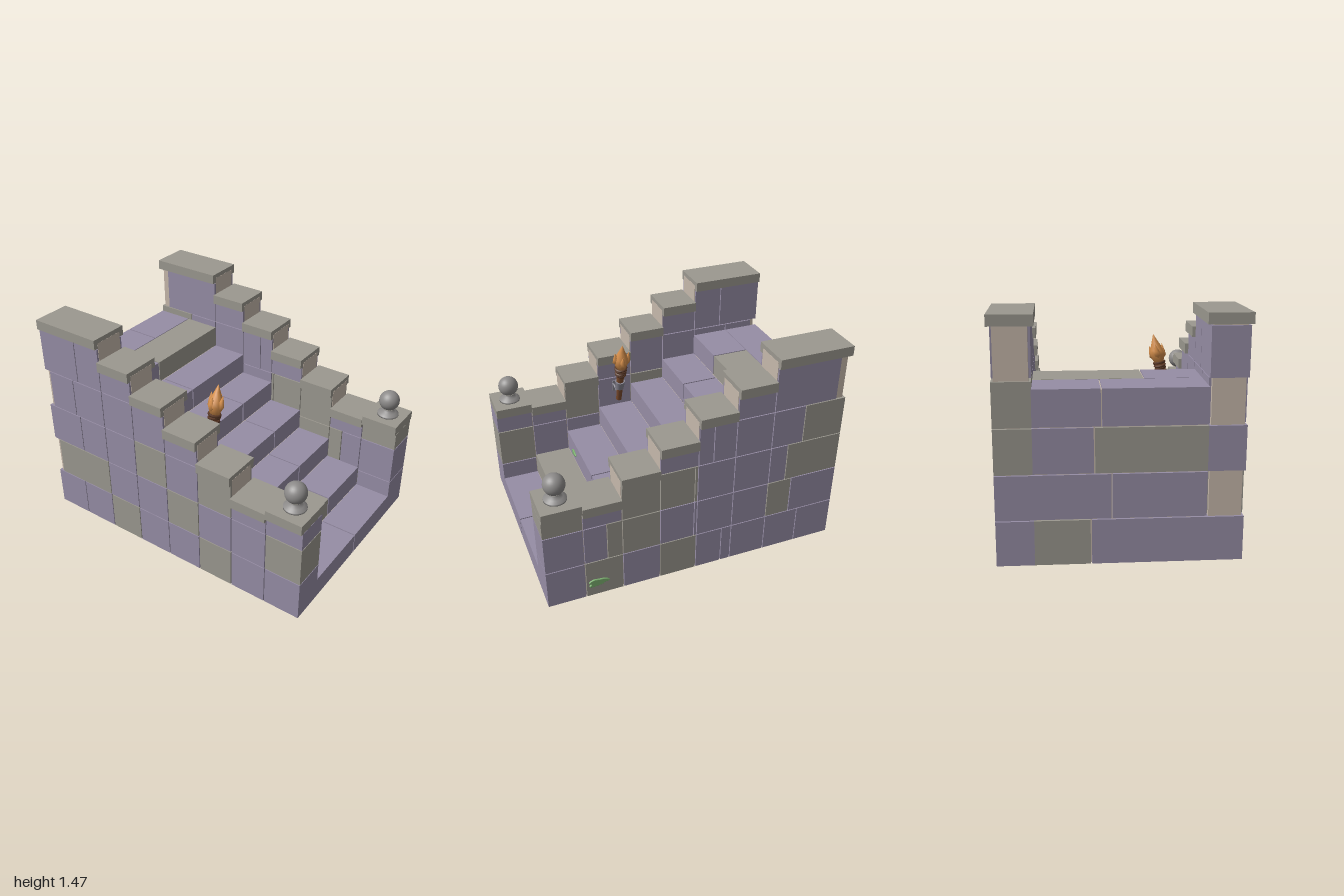
import * as THREE from 'three';

const mat = (name, color, side = THREE.FrontSide) => {
  const m = new THREE.MeshStandardMaterial({ color, side });
  m.name = name;
  return m;
};

export function createModel() {
  const root = new THREE.Group();
  root.name = 'stoneStaircase';
  const L = mat('lilacStone', 0x968da5);
  const G = mat('greyStone', 0x9b988f);
  const mortar = mat('mortar', 0xc6b8ab);
  const ballStone = mat('finialStone', 0x8d8b8a);
  const wood = mat('wood', 0x7a4a2c);
  const wrap = mat('darkWrap', 0x5a3826);
  const metal = mat('metal', 0x85838f);
  const fire = mat('flame', 0xd58f4c);
  const moss = mat('moss', 0x7cb070);

  const add = (name, geo, m, parent = root) => {
    const mesh = new THREE.Mesh(geo, m);
    mesh.name = name;
    parent.add(mesh);
    return mesh;
  };
  // Box given by its extents, shrunk by a gap on the given axes
  const block = (name, m, x0, x1, y0, y1, z0, z1, gx = 0, gy = 0, gz = 0, parent = root) => {
    const mesh = add(name, new THREE.BoxGeometry(x1 - x0 - 2 * gx, y1 - y0 - 2 * gy, z1 - z0 - 2 * gz), m, parent);
    mesh.position.set((x0 + x1) / 2, (y0 + y1) / 2, (z0 + z1) / 2);
    return mesh;
  };

  // Steps: joint position, left and right stone
  const stepRows = [[0, L, L], [0.07, G, L], [0.09, L, L], [0.16, L, L],
    [0.135, L, L], [-0.108, L, L], [-0.155, L, G]];
  const steps = new THREE.Group();
  steps.name = 'steps';
  root.add(steps);
  stepRows.forEach(([joint, a, b], i) => {
    const y1 = 0.15 * (i + 1), y0 = y1 - 0.148, z1 = 1 - 0.25 * i, z0 = z1 - 0.249;
    block('stepStone', a, -0.5, joint - 0.004, y0, y1, z0, z1, 0, 0, 0, steps);
    block('stepStone', b, joint + 0.004, 0.5, y0, y1, z0, z1, 0, 0, 0, steps);
    block('stepCore', mortar, -0.49, 0.49, 0.004, y1 - 0.008, Math.max(z0 - 0.03, -0.98), z1 - 0.012, 0, 0, 0, steps);
  });
  block('backCore', mortar, -0.49, 0.49, 0.004, 1.04, -0.985, -0.7, 0, 0, 0, steps);

  // Back face courses: joint, stone toward -x, stone toward +x
  [[0, 0.28, 0.17, L, G], [0.28, 0.555, 0.05, L, L], [0.555, 0.83, 0.15, G, L], [0.83, 1.05, 0.11, L, L]]
    .forEach(([y0, y1, joint, a, b]) => {
      const top = y1 === 1.05 ? y1 : y1 - 0.005;
      block('backStone', a, -0.5, joint - 0.004, y0 + 0.002, top, -1, -0.754, 0, 0, 0, steps);
      block('backStone', b, joint + 0.004, 0.5, y0 + 0.002, top, -1, -0.754, 0, 0, 0, steps);
    });

  // Base plate
  block('basePlate', mortar, -0.64, 0.64, 0, 0.02, -0.92, 0.75);

  // Wall columns: front z, back z, top of the coping
  const columns = [[1, 0.75, 0.745], [0.75, 0.5, 0.715], [0.5, 0.25, 0.865], [0.25, 0, 1.015],
    [0, -0.25, 1.165], [-0.25, -0.5, 1.315], [-0.5, -1, 1.465]];
  const rowY = [0.002, 0.28, 0.555, 0.83, 1.1, 1.4];

  // Wall courses from the ground up: [front z, back z, stone]
  const plusRows = [
    [[1, 0.75, L], [0.75, 0.5, G], [0.5, 0.25, L], [0.25, 0, G], [0, -0.18, L], [-0.18, -0.25, L],
      [-0.25, -0.5, L], [-0.5, -0.74, L], [-0.74, -1, L]],
    [[1, 0.75, L], [0.75, 0.6, L], [0.6, 0.5, G], [0.5, 0.25, G], [0.25, 0.02, L], [0.02, 0, L], [0, -0.25, L],
      [-0.25, -0.5, L], [-0.5, -0.67, G], [-0.67, -1, L]],
    [[1, 0.75, G], [0.75, 0.5, L], [0.5, 0.25, G], [0.25, 0.02, G], [0.02, 0, G], [0, -0.25, L], [-0.25, -0.5, L],
      [-0.5, -0.62, L], [-0.62, -1, G]],
    [[0.25, 0, L], [0, -0.1, L], [-0.1, -0.25, L], [-0.25, -0.5, L], [-0.5, -0.72, L], [-0.72, -1, G]],
    [[-0.25, -0.5, L], [-0.5, -0.935, L]],
  ];
  const minusRows = [
    [[1, 0.75, L], [0.75, 0.5, L], [0.5, 0.25, G], [0.25, 0, L], [0, -0.25, L], [-0.25, -0.5, G],
      [-0.5, -0.75, L], [-0.75, -1, L]],
    [[1, 0.75, G], [0.75, 0.5, L], [0.5, 0.25, L], [0.25, 0, G], [0, -0.25, L], [-0.25, -0.5, L], [-0.5, -0.96, G]],
    [[1, 0.75, L], [0.75, 0.5, L], [0.5, 0.25, G], [0.25, 0, L], [0, -0.25, G], [-0.25, -0.5, L],
      [-0.5, -0.72, L], [-0.72, -1, L]],
    [[0.25, 0, L], [0, -0.25, L], [-0.25, -0.5, L], [-0.5, -0.75, L], [-0.75, -0.96, L]],
    [[-0.25, -0.5, L], [-0.5, -0.7, L], [-0.7, -1, L]],
  ];

  // Turned ball finial
  const finialGeo = new THREE.LatheGeometry([[0, 0], [0.072, 0], [0.072, 0.012], [0.05, 0.022], [0.036, 0.036], [0.034, 0.046]]
    .map(([r, y]) => new THREE.Vector2(r, y)), 24);

  for (const s of [1, -1]) {
    const wall = new THREE.Group();
    wall.name = s > 0 ? 'leftWall' : 'rightWall';
    root.add(wall);
    const span = (a, b) => (s > 0 ? [a, b] : [-b, -a]);
    const [bx0, bx1] = span(0.498, 0.72), [cx0, cx1] = span(0.512, 0.706), [px0, px1] = span(0.478, 0.737);
    for (const [zf, zb, top] of columns) {
      const zEnd = zb === -1 ? -0.985 : zb;
      block('wallCore', mortar, cx0, cx1, 0.004, top - 0.03, zEnd, zf === 1 ? 0.988 : zf, 0, 0, 0, wall);
      block('copingStone', G, px0, px1, top - 0.065, top, zb, zf, 0, 0, 0.001, wall);
    }
    (s > 0 ? plusRows : minusRows).forEach((row, r) => row.forEach(([zf, zb, m]) => {
      const mid = (zf + zb) / 2;
      const top = columns.find((c) => mid < c[0] && mid > c[1])[2] - 0.065;
      const y1 = Math.min(rowY[r + 1], top);
      block('wallStone', m, bx0, bx1, rowY[r], y1 - (y1 < top ? 0.006 : 0),
        zb + (zb === -1 ? 0 : 0.003), zf - (zf === 1 ? 0 : 0.003), 0, 0, 0, wall);
    }));
    const finial = new THREE.Group();
    finial.name = 'finial';
    finial.position.set(s * 0.608, 0.745, 0.877);
    wall.add(finial);
    add('finialBase', finialGeo, ballStone, finial);
    add('finialBall', new THREE.SphereGeometry(0.069, 28, 18), ballStone, finial).position.y = 0.11;
  }

  // Torch, leaning away from the wall
  const torch = new THREE.Group();
  torch.name = 'torch';
  torch.position.set(-0.426, 0.685, 0.12);
  torch.rotation.z = -0.225;
  root.add(torch);
  add('torchHandle', new THREE.CylinderGeometry(0.03, 0.02, 0.3, 10), wood, torch).position.y = 0.15;
  add('torchCup', new THREE.CylinderGeometry(0.036, 0.029, 0.065, 10), metal, torch).position.y = 0.14;
  for (let i = 0; i < 4; i++) {
    const ring = add('torchWrap', new THREE.TorusGeometry(0.031 + i * 0.002, 0.009, 6, 14), wrap, torch);
    ring.rotation.x = Math.PI / 2 + (i % 2 ? 0.1 : -0.1);
    ring.position.y = 0.235 + i * 0.02;
  }
  const tongue = (pts, n) => new THREE.LatheGeometry(pts.map(([r, y]) => new THREE.Vector2(r, y)), n);
  const flame = add('flame', tongue([[0, 0], [0.034, 0.005], [0.054, 0.06], [0.045, 0.095], [0.02, 0.155], [0, 0.205]], 9), fire, torch);
  flame.position.y = 0.295;
  for (let i = 0; i < 4; i++) {
    const a = (i * Math.PI) / 2 + 0.1;
    const t = add('flameTongue', tongue([[0, 0], [0.024, 0.03], [0.018, 0.06], [0, 0.11]], 6), fire, torch);
    t.position.set(Math.cos(a) * 0.032, 0.315 + (i % 2) * 0.012, Math.sin(a) * 0.036);
    t.rotation.set(Math.sin(a) * 0.12, 0, -Math.cos(a) * 0.12);
  }

  // Wall bracket with two curled arms
  const bracket = new THREE.Group();
  bracket.name = 'torchBracket';
  root.add(bracket);
  block('bracketPlate', metal, -0.5, -0.49, 0.72, 0.8, 0.095, 0.145, 0, 0, 0, bracket);
  for (const z of [0.1, 0.14]) {
    const path = new THREE.CatmullRomCurve3([[-0.495, 0.775], [-0.465, 0.785], [-0.435, 0.775], [-0.405, 0.81]]
      .map(([x, y]) => new THREE.Vector3(x, y, z)));
    add('bracketArm', new THREE.TubeGeometry(path, 14, 0.007, 6), metal, bracket);
  }
  const curl = new THREE.CatmullRomCurve3([[-0.495, 0.735], [-0.47, 0.73], [-0.455, 0.75], [-0.47, 0.765], [-0.48, 0.75]]
    .map(([x, y]) => new THREE.Vector3(x, y, 0.12)));
  add('bracketCurl', new THREE.TubeGeometry(curl, 18, 0.006, 6), metal, bracket);

  // Moss patches
  const outline = [[-0.06, 0.022], [-0.035, 0.03], [0, 0.026], [0.035, 0.022], [0.066, 0.006], [0.062, -0.006],
    [0.04, -0.008], [0.02, -0.02], [-0.02, -0.026], [-0.055, -0.03], [-0.068, -0.018], [-0.056, -0.004], [-0.07, 0.01]]
    .map(([x, y]) => new THREE.Vector2(x, y));
  const first = outline[0];
  const shape = new THREE.Shape().moveTo(first.x, first.y).splineThru([...outline.slice(1), first]);
  const mossGeo = new THREE.ExtrudeGeometry(shape, {
    depth: 0.003, bevelEnabled: true, bevelThickness: 0.005, bevelSize: 0.004, bevelOffset: -0.004, bevelSegments: 2, curveSegments: 3,
  });
  const wallMoss = add('wallMoss', mossGeo, moss);
  wallMoss.position.set(0.722, 0.102, 0.664);
  wallMoss.rotation.y = Math.PI / 2;
  const stepMoss = add('stepMoss', mossGeo, moss);
  stepMoss.position.set(-0.328, 0.36, 0.502);
  stepMoss.scale.set(0.62, 0.7, 1);

  return root;
}
